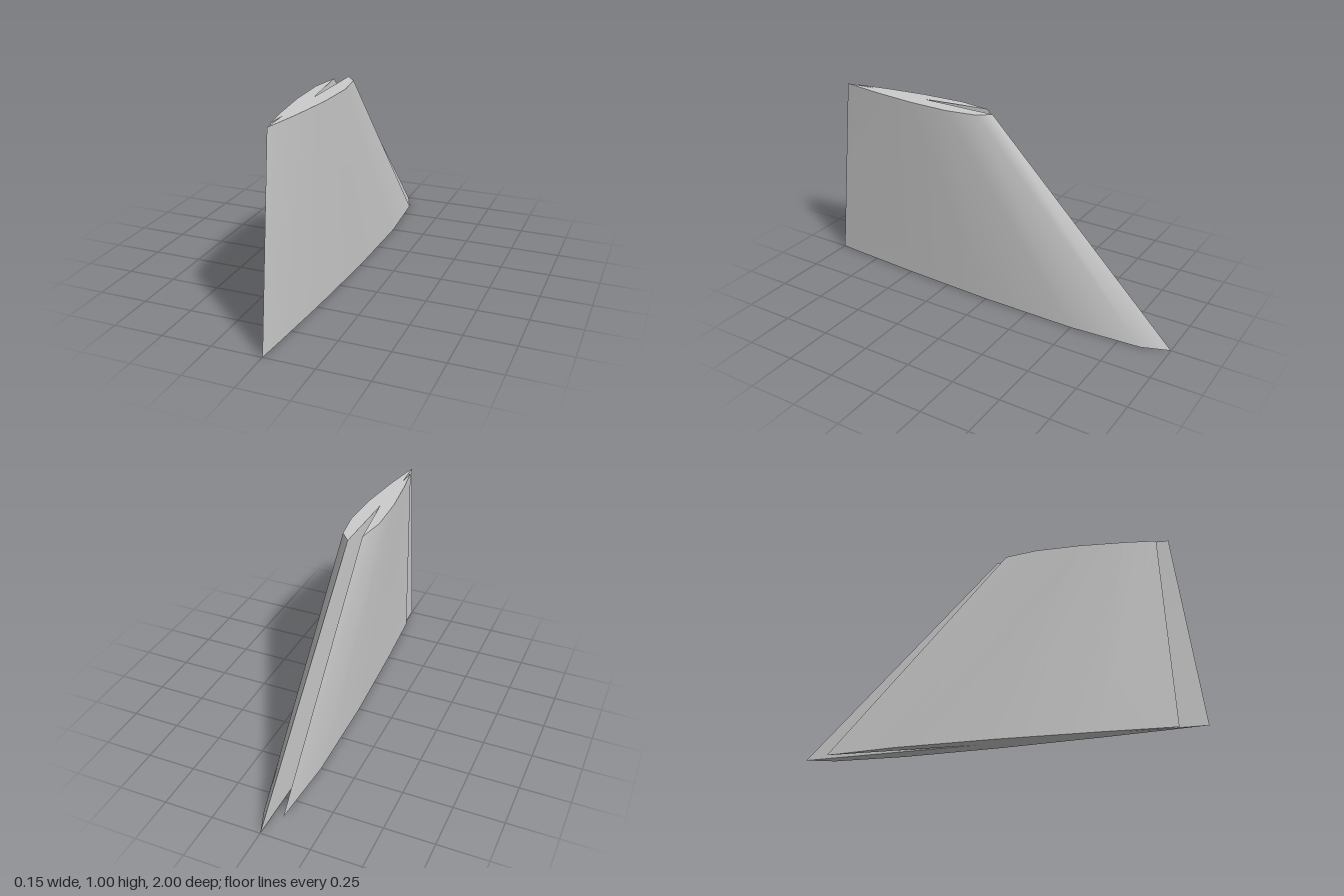
import * as THREE from 'three';

// Half thickness of the aerofoil section; t runs from the rounded back edge (0) to the thin front edge (1)
const halfThickness = (t) =>
  0.75 * (0.2969 * Math.sqrt(t) - 0.126 * t - 0.3516 * t ** 2 + 0.2843 * t ** 3 - 0.1015 * t ** 4);

// The section keeps its thickness while its length shrinks towards the top
const topZ = (z) => 0.445 * (z + 1);

// Ruled wall between the base section and the top section
function wall(points) {
  const positions = [], index = [];
  points.forEach(([x, z], i) => {
    positions.push(x, 0, z, x, 1, topZ(z));
    if (i > 0) {
      const a = 2 * (i - 1);
      index.push(a, a + 2, a + 3, a, a + 3, a + 1);
    }
  });
  const geometry = new THREE.BufferGeometry();
  geometry.setAttribute('position', new THREE.Float32BufferAttribute(positions, 3));
  geometry.setIndex(index);
  geometry.computeVertexNormals();
  return geometry;
}

// Flat end of the fin
function cap(outline, isTop) {
  const points = outline.map(([x, z]) => new THREE.Vector2(x, isTop ? -topZ(z) : z));
  const geometry = new THREE.ShapeGeometry(new THREE.Shape(points));
  geometry.rotateX(isTop ? -Math.PI / 2 : Math.PI / 2);
  if (isTop) geometry.translate(0, 1, 0);
  return geometry;
}

export function createModel() {
  const grey = new THREE.MeshStandardMaterial({ color: 0xcccccc, side: THREE.DoubleSide });
  grey.name = 'light grey';

  const fin = new THREE.Group();
  fin.name = 'fin';
  const add = (name, geometry) => {
    const mesh = new THREE.Mesh(geometry, grey);
    mesh.name = name;
    fin.add(mesh);
  };

  // Cosine-spaced section, front to back
  const leftSide = [];
  for (let i = 0; i <= 6; i++) {
    const z = Math.cos((i * Math.PI) / 6);
    leftSide.push([halfThickness((z + 1) / 2), z]);
  }
  // The other side is mirrored but stops short of both tips
  const rightSide = leftSide.slice(1, 6).map(([x, z]) => [-x, z]).reverse();
  const front = leftSide[0], back = leftSide[6];
  const rightBack = rightSide[0], rightFront = rightSide[4];

  // Outer skins
  add('leftSkin', wall(leftSide));
  add('rightSkin', wall(rightSide));

  // Crossing inner walls that form the front and back slots
  add('frontSlotWall', wall([rightBack, front]));
  add('backSlotWall', wall([back, rightFront]));

  // Ends with the two slots cut in
  const outline = [...leftSide, [-0.006, -0.1], ...rightSide, [-0.0105, 0.61]];
  add('topCap', cap(outline, true));
  add('baseCap', cap(outline, false));

  return fin;
}
